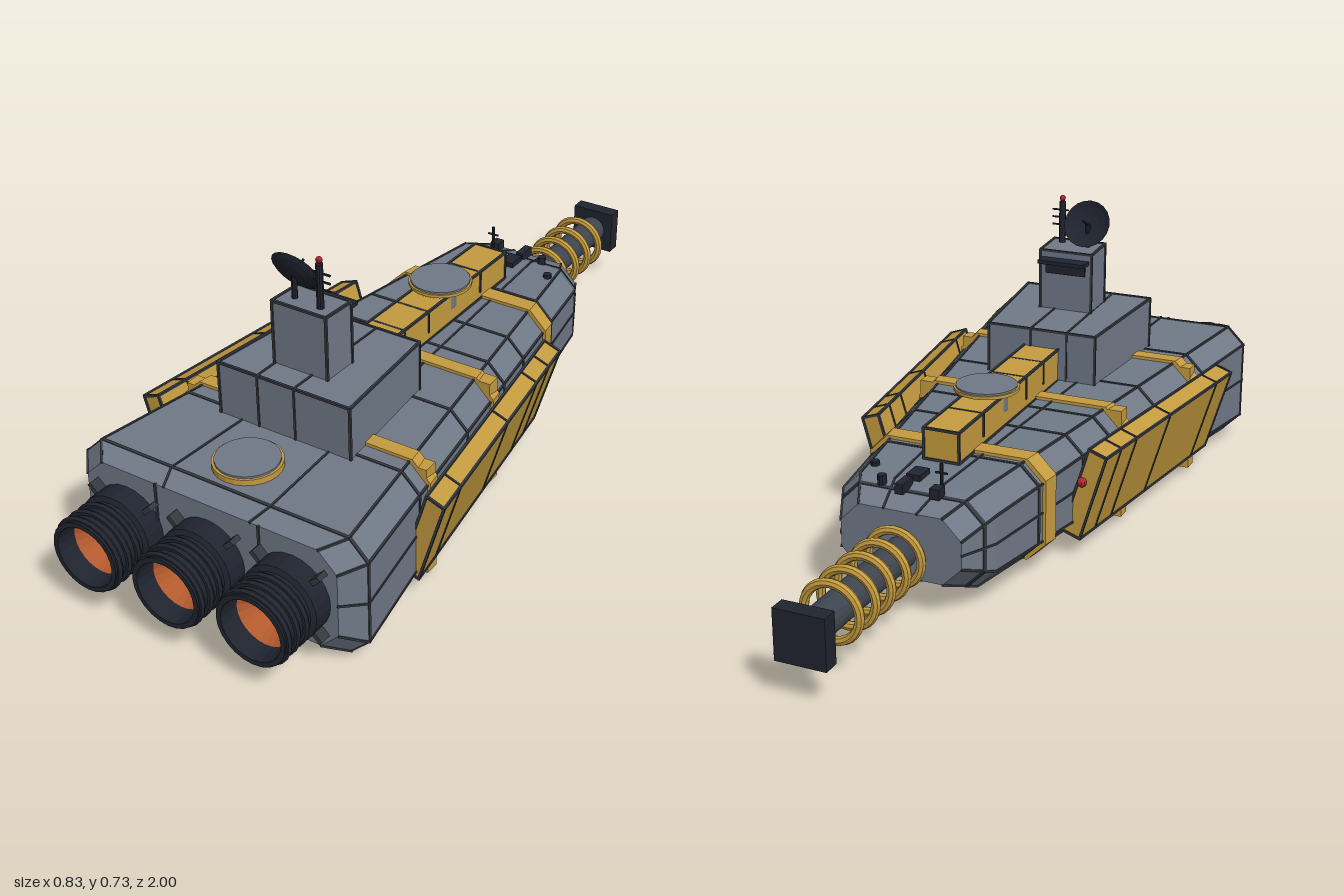
import * as THREE from 'three';
import { mergeGeometries } from 'three/addons/utils/BufferGeometryUtils.js';

const paint = (color) => new THREE.MeshStandardMaterial({ color, flatShading: true, side: THREE.DoubleSide });
const V = (x, y, z) => new THREE.Vector3(x, y, z);

export function createModel() {
  const model = new THREE.Group();
  const hullGrey = paint(0x707987), dark = paint(0x20242f), seamGrey = paint(0x343940);
  const gold = paint(0xc49b3f), orange = paint(0xb45a2e), glow = paint(0xc68460);
  const red = paint(0xb02530), green = paint(0x2f8f45);

  function add(name, geo, mat, x = 0, y = 0, z = 0, parent = model) {
    const mesh = new THREE.Mesh(geo, mat);
    mesh.name = name;
    mesh.position.set(x, y, z);
    parent.add(mesh);
    return mesh;
  }
  const box = (name, w, h, d, mat, x, y, z) => add(name, new THREE.BoxGeometry(w, h, d), mat, x, y, z);
  const disc = (name, r, h, mat, x, y, z, n = 24) => add(name, new THREE.CylinderGeometry(r, r, h, n), mat, x, y, z);

  // Closed solid through counter-clockwise sections ordered by rising z
  function loft(sections) {
    const n = sections[0].length, pos = [], idx = [];
    sections.flat().forEach((p) => pos.push(p.x, p.y, p.z));
    for (let s = 0; s < sections.length - 1; s++) {
      for (let j = 0; j < n; j++) {
        const a = s * n + j, b = s * n + (j + 1) % n;
        idx.push(a, b, b + n, a, b + n, a + n);
      }
    }
    const last = (sections.length - 1) * n;
    for (let j = 1; j < n - 1; j++) idx.push(0, j + 1, j, last, last + j, last + j + 1);
    const geo = new THREE.BufferGeometry();
    geo.setAttribute('position', new THREE.Float32BufferAttribute(pos, 3));
    geo.setIndex(idx);
    const flat = geo.toNonIndexed();
    flat.computeVertexNormals();
    return flat;
  }

  // Thin square bar between two points
  function bar(a, b, t) {
    const o = new THREE.Object3D();
    o.position.copy(a).add(b).multiplyScalar(0.5);
    o.lookAt(b);
    o.updateMatrix();
    return new THREE.BoxGeometry(t, t, a.distanceTo(b) + t * 0.5).applyMatrix4(o.matrix);
  }
  // Dark trim on every sharp edge of a solid
  function trim(name, geo, t = 0.006) {
    const p = new THREE.EdgesGeometry(geo, 15).attributes.position, bars = [];
    for (let i = 0; i < p.count; i += 2) {
      bars.push(bar(V().fromBufferAttribute(p, i), V().fromBufferAttribute(p, i + 1), t));
    }
    add(name, mergeGeometries(bars), seamGrey);
  }
  function trimmed(name, sections, mat) {
    const geo = loft(sections);
    add(name, geo, mat);
    trim(name + 'Trim', geo);
  }
  const rect = (w, y0, y1, z) => [V(w, y0, z), V(w, y1, z), V(-w, y1, z), V(-w, y0, z)];

  // Hull: chamfered section from keys of z, half width, bottom, top
  const keys = [[-0.56, 0.15, 0.09, 0.25], [-0.47, 0.192, 0.055, 0.283], [0.8, 0.378, 0.013, 0.315], [0.85, 0.335, 0.045, 0.3]];
  function hullAt(z) {
    let i = 0;
    while (i < keys.length - 2 && z > keys[i + 1][0]) i++;
    const k = (z - keys[i][0]) / (keys[i + 1][0] - keys[i][0]);
    return [1, 2, 3].map((c) => THREE.MathUtils.lerp(keys[i][c], keys[i + 1][c], k));
  }
  function ring(z, grow = 0) {
    let [w, b, t] = hullAt(z);
    w += grow; b -= grow; t += grow;
    const c = 0.047;
    return [[w, b + c], [w, t - c], [w - c, t], [c - w, t], [-w, t - c], [-w, b + c], [c - w, b], [w - c, b]]
      .map(([x, y]) => V(x, y, z));
  }
  const stations = keys.map((k) => k[0]);
  add('hull', loft(stations.map((z) => ring(z))), hullGrey);
  for (const z of [-0.5, -0.29, -0.09, 0.04, 0.27, 0.54, 0.797]) {
    add('hullSeam', loft([ring(z - 0.004, 0.002), ring(z + 0.004, 0.002)]), seamGrey);
  }
  // Lengthwise seams on chamfer edges, deck, belly and flanks
  const lines = [];
  for (let s = 0; s < 3; s++) {
    const A = ring(stations[s]), B = ring(stations[s + 1]);
    for (let j = 0; j < 8; j++) lines.push(bar(A[j], B[j], 0.005));
    for (const [i, j, k] of [[2, 3, 0.3], [2, 3, 0.7], [6, 7, 0.3], [6, 7, 0.7], [0, 1, 0.5], [4, 5, 0.5]]) {
      lines.push(bar(A[i].clone().lerp(A[j], k), B[i].clone().lerp(B[j], k), 0.005));
    }
  }
  for (const x of [-0.138, 0.138]) lines.push(bar(V(x, 0.045, 0.85), V(x, 0.3, 0.85), 0.006));
  add('lengthSeams', mergeGeometries(lines), seamGrey);

  // Gold bands
  for (const [z, h] of [[-0.25, 0.023], [0.11, 0.019], [0.48, 0.019]]) {
    add('hullBand', loft([ring(z - h, 0.008), ring(z + h, 0.008)]), gold);
  }

  // Gold spine with turret
  trimmed('spine', [rect(0.045, 0.29, 0.365, -0.35), rect(0.047, 0.3, 0.384, 0.25)], gold);
  for (const z of [-0.22, 0.03, 0.14]) box('spineSeam', 0.098, 0.06, 0.006, seamGrey, 0, 0.347 + z * 0.03, z);
  disc('turretBase', 0.048, 0.06, hullGrey, 0, 0.36, -0.09);
  disc('turretRim', 0.08, 0.008, gold, 0, 0.387, -0.1);
  disc('turretCap', 0.075, 0.012, hullGrey, 0, 0.39, -0.1);

  // Round hatches on the rear deck and belly
  disc('deckHatchRim', 0.08, 0.02, gold, 0, 0.318, 0.7);
  disc('deckHatch', 0.074, 0.03, hullGrey, 0, 0.318, 0.7);
  for (const [z, y] of [[0.43, 0.014], [-0.1, 0.03]]) {
    disc('bellyHatchRim', 0.08, 0.018, gold, 0, y, z);
    disc('bellyHatch', 0.074, 0.026, hullGrey, 0, y, z);
  }

  // Belly fittings
  for (let i = 0; i < 7; i++) {
    const z = -0.3 + i * 0.14, x = (i % 2 ? 1 : -1) * (0.06 + 0.04 * (i % 3));
    box('bellyFitting', 0.035, 0.012, 0.03, dark, x, hullAt(z)[1], z);
  }

  // Superstructure and tower
  trimmed('superstructure', [rect(0.148, 0.29, 0.43, 0.235), rect(0.178, 0.29, 0.444, 0.565)], hullGrey);
  for (const x of [-0.07, 0.03]) {
    const pts = [V(x, 0.3, 0.235), V(x, 0.43, 0.235), V(x, 0.444, 0.565), V(x, 0.31, 0.565)];
    for (let i = 0; i < 3; i++) add('superstructureSeam', bar(pts[i], pts[i + 1], 0.005), seamGrey);
  }
  trimmed('tower', [rect(0.072, 0.43, 0.595, 0.398), rect(0.072, 0.43, 0.602, 0.495)], hullGrey);
  box('towerWindow', 0.11, 0.03, 0.008, dark, 0, 0.55, 0.396);
  box('windowVisor', 0.13, 0.01, 0.04, dark, 0, 0.572, 0.38);

  // Mast and dish on the tower
  disc('mast', 0.009, 0.11, dark, 0.038, 0.658, 0.465, 10);
  add('mastLight', new THREE.SphereGeometry(0.008, 10, 8), red, 0.038, 0.722, 0.465);
  for (const y of [0.65, 0.67, 0.69]) box('mastRung', 0.045, 0.004, 0.004, dark, 0.044, y, 0.465);
  disc('dishPost', 0.007, 0.06, dark, -0.038, 0.63, 0.455, 8);
  const dish = new THREE.Group();
  dish.name = 'dish';
  dish.position.set(-0.038, 0.66, 0.455);
  dish.rotation.x = -1.1;
  model.add(dish);
  const bowl = [[0.001, 0], [0.03, 0.004], [0.05, 0.01], [0.063, 0.017]].map(([r, y]) => new THREE.Vector2(r, y));
  add('dishBowl', new THREE.LatheGeometry(bowl, 20), dark, 0, -0.008, 0, dish);
  add('dishFeed', new THREE.CylinderGeometry(0.003, 0.003, 0.05, 6), dark, 0, 0.017, 0, dish);

  // Slanted side pods with seams and navigation lights
  for (const s of [-1, 1]) {
    const podAt = (z) => {
      const dx = (z - 0.56) * 0.13;
      const p = [[0.35, 0.05], [0.414, 0.268], [0.37, 0.284], [0.305, 0.066]].map(([x, y]) => V(s * (x + dx), y, z));
      return s > 0 ? p : p.reverse();
    };
    trimmed(s > 0 ? 'leftPod' : 'rightPod', [podAt(-0.135), podAt(0.56)], gold);
    for (const z of [-0.06, 0.02, 0.2, 0.47]) {
      const p = podAt(z);
      for (let i = 0; i < 4; i++) add('podSeam', bar(p[i], p[(i + 1) % 4], 0.005), seamGrey);
    }
    for (const z of [0.11, 0.48]) {
      box('podBracket', 0.05, 0.05, 0.038, gold, s * (hullAt(z)[0] - 0.025), 0.275, z);
      box('podBracketLower', 0.04, 0.035, 0.038, gold, s * (hullAt(z)[0] - 0.015), 0.035, z);
    }
    add('podLight', new THREE.SphereGeometry(0.012, 10, 8), s > 0 ? green : red, s * 0.265, 0.2, -0.14);
  }

  // Three engines
  const lathe = (pts, n = 24) => new THREE.LatheGeometry(pts.map(([r, z]) => new THREE.Vector2(r, z)), n).rotateX(Math.PI / 2);
  for (const x of [-0.222, 0, 0.222]) {
    const engine = new THREE.Group();
    engine.name = 'engine';
    engine.position.set(x, 0.165, 0);
    model.add(engine);
    add('nozzle', lathe([[0.095, 0.83], [0.095, 0.9], [0.083, 0.905], [0.083, 0.985], [0.088, 1], [0.076, 1], [0.071, 0.95]]), dark, 0, 0, 0, engine);
    for (const z of [0.925, 0.955, 0.985]) {
      add('nozzleRing', new THREE.TorusGeometry(0.086, 0.008, 6, 24), dark, 0, 0, z, engine);
    }
    add('nozzleGlow', lathe([[0.073, 0.955], [0.028, 0.88]]), orange, 0, 0, 0, engine);
    add('nozzleCore', new THREE.CircleGeometry(0.029, 20), glow, 0, 0, 0.881, engine);
    for (let i = 0; i < 4; i++) {
      const a = Math.PI / 4 + i * Math.PI / 2;
      const strut = add('strut', new THREE.BoxGeometry(0.035, 0.012, 0.035), seamGrey, Math.cos(a) * 0.104, Math.sin(a) * 0.104, 0.86, engine);
      strut.rotation.z = a;
    }
  }

  // Nose boom with coils and end plate
  add('noseBoom', new THREE.CylinderGeometry(0.038, 0.038, 0.42, 20).rotateX(Math.PI / 2), paint(0x3f4550), 0, 0.15, -0.76);
  for (let i = 0; i < 5; i++) {
    add('boomCoil', new THREE.TorusGeometry(0.066, 0.011, 8, 28), gold, 0, 0.15, -0.588 - i * 0.07);
  }
  box('boomPlate', 0.122, 0.12, 0.04, dark, 0, 0.15, -0.98);

  // Small deck gear near the nose
  for (const [x, z, w, d] of [[-0.065, -0.505, 0.025, 0.03], [0.02, -0.5, 0.02, 0.05], [0.015, -0.44, 0.035, 0.05]]) {
    box('deckGear', w, 0.025, d, dark, x, 0.285, z);
  }
  disc('deckKnob', 0.011, 0.025, dark, 0.08, 0.285, -0.49, 10);
  disc('deckKnob', 0.011, 0.02, dark, 0.135, 0.285, -0.42, 10);
  disc('noseAntenna', 0.004, 0.075, dark, -0.068, 0.31, -0.487, 6);
  box('noseAntennaArm', 0.03, 0.004, 0.004, dark, -0.068, 0.325, -0.487);
  return model;
}
